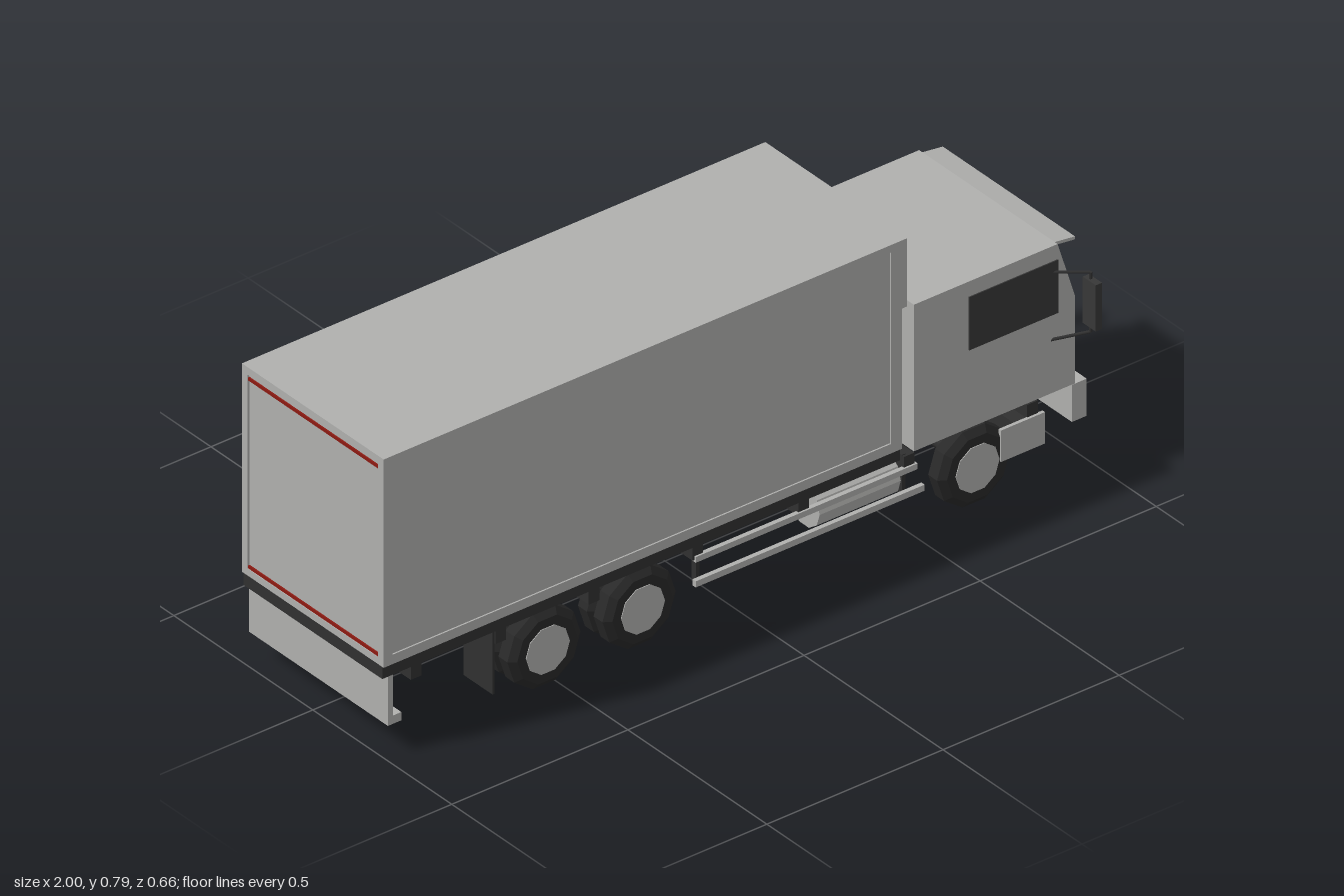
import * as THREE from 'three';

const mat = (name, color, side = THREE.FrontSide) => {
  const m = new THREE.MeshStandardMaterial({ color, side });
  m.name = name;
  return m;
};

export function createModel() {
  const paint = mat('lightGrey', 0xb0b0ae);
  const glass = mat('darkGlass', 0x373737);
  const dark = mat('chassisBlack', 0x303030);
  const rubber = mat('tyreRubber', 0x292929);
  const red = mat('markerRed', 0x8c1a12);

  const root = new THREE.Group();
  root.name = 'boxTruck';

  const add = (name, geo, material, parent = root) => {
    const m = new THREE.Mesh(geo, material);
    m.name = name;
    parent.add(m);
    return m;
  };
  // Box given by its limits on each axis
  const box = (name, material, [x0, x1], [y0, y1], [z0, z1], parent = root) => {
    const m = add(name, new THREE.BoxGeometry(x1 - x0, y1 - y0, Math.abs(z1 - z0)), material, parent);
    m.position.set((x0 + x1) / 2, (y0 + y1) / 2, (z0 + z1) / 2);
    return m;
  };
  const flat = (geo) => {
    const g = geo.toNonIndexed();
    g.computeVertexNormals();
    return g;
  };
  // Round bar between two points
  const bar = (name, material, a, b, r) => {
    const p = new THREE.Vector3(...a), q = new THREE.Vector3(...b), d = q.clone().sub(p);
    const m = add(name, new THREE.CylinderGeometry(r, r, d.length(), 8), material);
    m.position.copy(p).add(q).multiplyScalar(0.5);
    m.quaternion.setFromUnitVectors(new THREE.Vector3(0, 1, 0), d.normalize());
  };

  // Cargo box with raised edge frame
  const cargo = new THREE.Group();
  cargo.name = 'cargoBox';
  root.add(cargo);
  box('cargoCore', paint, [-0.994, 0.468], [0.24, 0.788], [-0.251, 0.251], cargo);
  box('cargoRoof', paint, [-1, 0.47], [0.77, 0.79], [-0.255, 0.255], cargo);
  box('cargoHeadboard', paint, [0.468, 0.486], [0.61, 0.79], [-0.255, 0.255], cargo);
  for (const s of [1, -1]) {
    box('cargoBottomRail', paint, [-1, 0.47], [0.24, 0.265], [s * 0.245, s * 0.255], cargo);
    box('cargoFrontPost', paint, [0.44, 0.471], [0.24, 0.78], [s * 0.235, s * 0.255], cargo);
    box('cargoRearPost', paint, [-1, -0.975], [0.24, 0.78], [s * 0.235, s * 0.255], cargo);
  }
  box('rearSill', paint, [-1, -0.985], [0.24, 0.258], [-0.24, 0.24], cargo);
  for (const y of [0.262, 0.758])
    box('rearMarkerStrip', red, [-0.998, -0.992], [y - 0.004, y + 0.004], [-0.235, 0.235], cargo);
  box('cargoFloor', dark, [-1, 0.47], [0.208, 0.24], [-0.25, 0.25]);

  // Ladder chassis
  for (const s of [1, -1]) {
    box('chassisRail', dark, [-0.96, 0.93], [0.16, 0.215], [s * 0.075, s * 0.095]);
    box('rearBracket', dark, [-0.97, -0.88], [0.155, 0.172], [s * 0.07, s * 0.1]);
  }
  for (const x of [-0.9, -0.66, -0.395, -0.1, 0.2, 0.5, 0.85])
    box('crossMember', dark, [x - 0.015, x + 0.015], [0.17, 0.208], [-0.245, 0.245]);
  box('cabSubframe', dark, [0.51, 0.93], [0.172, 0.216], [-0.18, 0.18]);

  // Cab body from its side profile
  const profile = new THREE.Shape([
    [0.51, 0.215], [0.968, 0.215], [0.968, 0.445], [0.918, 0.602], [0.51, 0.602],
  ].map(([x, y]) => new THREE.Vector2(x, y)));
  const cabGeo = new THREE.ExtrudeGeometry(profile, { depth: 0.498, bevelEnabled: false });
  add('cab', cabGeo.translate(0, 0, -0.249), paint);
  box('grille', glass, [0.966, 0.972], [0.256, 0.418], [-0.173, 0.173]);
  box('bumper', paint, [0.958, 1], [0.117, 0.215], [-0.25, 0.25]);

  // Windscreen lies on the sloped face
  const slope = Math.atan2(0.05, 0.157);
  const screen = add('windscreen', new THREE.BoxGeometry(0.006, 0.124, 0.438), glass);
  screen.position.set(0.9426, 0.5255, 0);
  screen.rotation.z = slope;
  const visor = add('sunVisor', new THREE.BoxGeometry(0.062, 0.008, 0.476), paint);
  visor.position.set(0.945, 0.594, 0);
  visor.rotation.z = -0.13;

  for (const s of [1, -1]) {
    box('sideWindow', glass, [0.665, 0.918], [0.422, 0.562], [s * 0.247, s * 0.252]);

    // Mirrors on two arms
    box('mirror', glass, [0.964, 0.982], [0.392, 0.514], [s * 0.281, s * 0.328]);
    bar('upperMirrorArm', dark, [0.9, 0.533, s * 0.245], [0.973, 0.531, s * 0.298], 0.004);
    bar('lowerMirrorArm', dark, [0.9, 0.354, s * 0.245], [0.973, 0.374, s * 0.298], 0.004);
    bar('mirrorStem', dark, [0.973, 0.374, s * 0.298], [0.973, 0.531, s * 0.298], 0.004);

    // Entry step ahead of the front wheel
    box('stepPlate', paint, [0.755, 0.88], [0.092, 0.175], [s * 0.243, s * 0.252]);
    box('stepHousing', dark, [0.8, 0.875], [0.1, 0.172], [s * 0.12, s * 0.243]);

    // Side guard
    box('upperGuardRail', paint, [-0.11, 0.52], [0.165, 0.18], [s * 0.238, s * 0.25]);
    box('lowerGuardRail', paint, [-0.11, 0.54], [0.1, 0.116], [s * 0.238, s * 0.25]);
    for (const x of [-0.095, 0.49])
      box('guardPost', dark, [x - 0.005, x + 0.005], [0.1, 0.21], [s * 0.222, s * 0.238]);

    box('mudFlap', dark, [-0.683, -0.677], [0.04, 0.21], [s * 0.14, s * 0.245]);
  }

  // Fuel tank
  const tank = add('fuelTank', flat(new THREE.CylinderGeometry(0.056, 0.056, 0.235, 10)), paint);
  tank.rotation.z = Math.PI / 2;
  tank.position.set(0.372, 0.14, 0.178);

  // Rear underrun guard
  box('underrunPlate', paint, [-0.984, -0.97], [0.08, 0.208], [-0.25, 0.25]);
  box('underrunBar', paint, [-0.984, -0.946], [0.078, 0.1], [-0.25, 0.25]);

  // Ten-sided wheels: singles in front, twins behind
  const tyreGeo = flat(new THREE.LatheGeometry([
    [0, -0.029], [0.086, -0.029], [0.104, -0.016], [0.104, 0.016], [0.086, 0.029], [0, 0.029],
  ].map(([r, y]) => new THREE.Vector2(r, y)), 10, Math.PI / 10).rotateX(Math.PI / 2));
  const hubGeo = flat(new THREE.CylinderGeometry(0.062, 0.062, 0.006, 10, 1, false, Math.PI / 10)
    .rotateX(Math.PI / 2));
  for (const [axle, x] of [['front', 0.69], ['middle', -0.26], ['rear', -0.53]]) {
    for (const s of [1, -1]) {
      add(axle + 'Tyre', tyreGeo, rubber).position.set(x, 0.101, s * 0.22);
      add(axle + 'Hub', hubGeo, paint).position.set(x, 0.101, s * 0.248);
      if (axle !== 'front')
        add(axle + 'InnerTyre', tyreGeo, rubber).position.set(x, 0.101, s * 0.164);
    }
    bar(axle + 'Axle', dark, [x, 0.101, -0.2], [x, 0.101, 0.2], 0.016);
  }
  return root;
}
